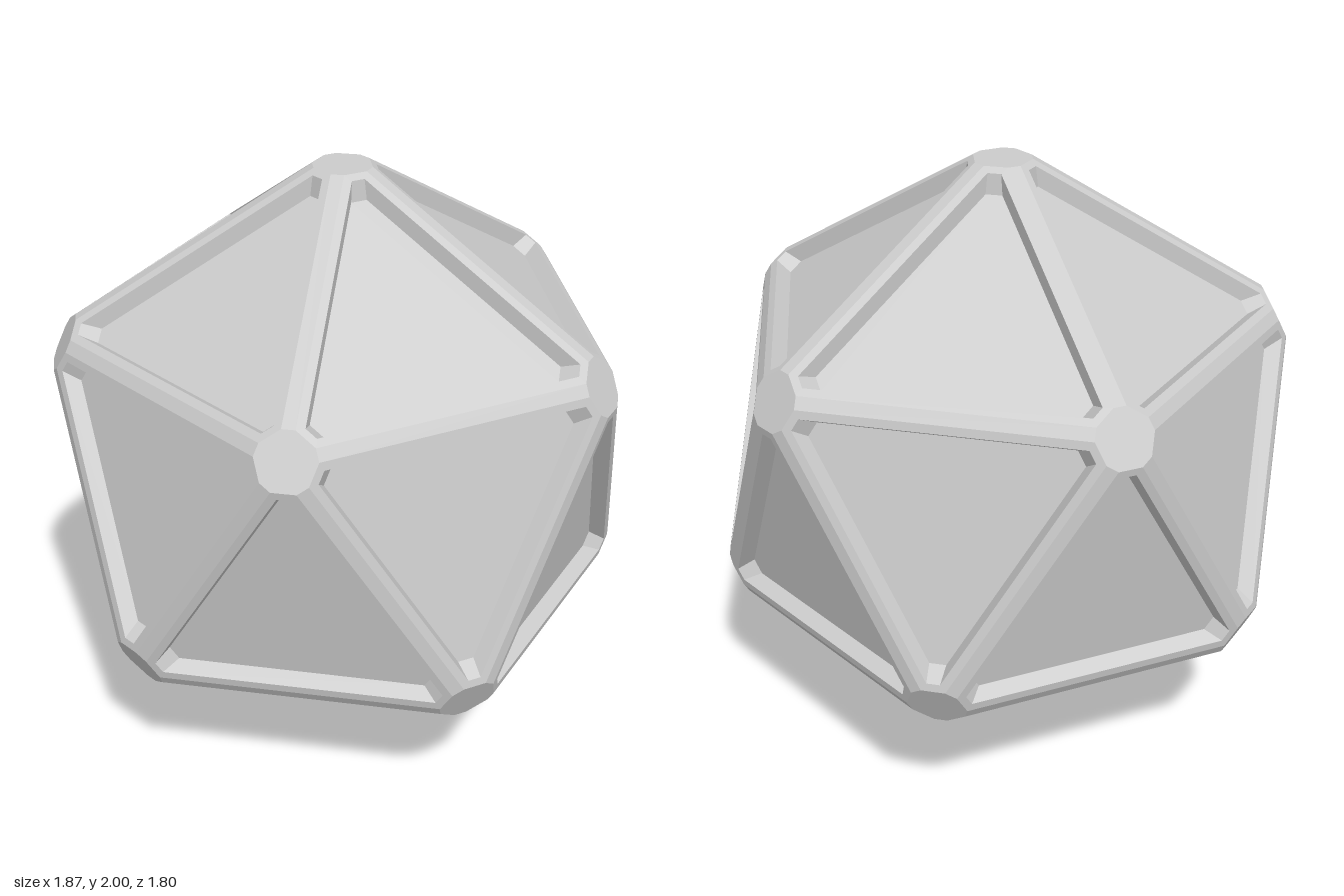
import * as THREE from 'three';

const CAP = 1;          // distance of the vertex caps from the centre
const RIDGE = 0.9;      // distance of the flat edge strips from the centre
const HALF = 0.021;     // half width of an edge strip
const DEPTH = 0.05;     // how far the panels are sunk

// The twelve directions of an icosahedron standing on a vertex
function directions() {
  const list = [new THREE.Vector3(0, 1, 0), new THREE.Vector3(0, -1, 0)];
  const y = 1 / Math.sqrt(5);
  for (let i = 0; i < 5; i++) {
    const a = (i * 2 * Math.PI) / 5;
    const v = new THREE.Vector3(2 * y * Math.cos(a), y, 2 * y * Math.sin(a));
    list.push(v, v.clone().negate());
  }
  return list;
}

// Point made of weighted directions
function combine(...terms) {
  const p = new THREE.Vector3();
  for (const [v, w] of terms) p.addScaledVector(v, w);
  return p;
}

// Fan of triangles over a convex polygon
function fan(out, pts) {
  for (let i = 1; i < pts.length - 1; i++) out.push(pts[0], pts[i], pts[i + 1]);
}

// Band of quads between two closed loops
function band(out, outer, inner) {
  outer.forEach((p, i) => {
    const j = (i + 1) % outer.length;
    fan(out, [p, outer[j], inner[j], inner[i]]);
  });
}

export function createModel() {
  const group = new THREE.Group();
  group.name = 'framedIcosahedron';
  const material = new THREE.MeshStandardMaterial({ color: 0xcccccc, flatShading: true });
  const addMesh = (name, points) => {
    const geometry = new THREE.BufferGeometry().setFromPoints(points);
    geometry.computeVertexNormals();
    const mesh = new THREE.Mesh(geometry, material);
    mesh.name = name;
    group.add(mesh);
  };

  const V = directions();
  const near = (a, b) => Math.abs(a.dot(b) - 1 / Math.sqrt(5)) < 0.01;
  const cosMid = V[0].clone().add(V[2]).normalize().dot(V[0]);
  const sinMid = Math.sqrt(1 - cosMid * cosMid);
  const run = (CAP - RIDGE * cosMid) / sinMid;   // half length of a strip

  // Four corners of the flat strip along edge a-b
  const stripCorners = (a, b) => {
    const m = a.clone().add(b).normalize();
    const e = b.clone().sub(a).normalize();
    const t = m.clone().cross(e);
    return [[-1, -1], [1, -1], [1, 1], [-1, 1]].map(([s, w]) =>
      combine([m, RIDGE], [e, s * run], [t, w * HALF]));
  };

  // Edge strips
  const strips = [];
  V.forEach((a, i) => V.slice(i + 1).forEach((b) => {
    if (near(a, b)) fan(strips, stripCorners(a, b));
  }));
  addMesh('edgeStrips', strips);

  // Ten-sided vertex caps
  const caps = [];
  for (const a of V) {
    const u = V.find((b) => near(a, b)).clone().projectOnPlane(a).normalize();
    const v = a.clone().cross(u);
    const angle = (p) => Math.atan2(p.dot(v), p.dot(u));
    const corners = [];
    for (const b of V) {
      if (!near(a, b)) continue;
      const c = stripCorners(a, b);
      corners.push(c[0], c[3]);
    }
    fan(caps, corners.sort((p, q) => angle(p) - angle(q)));
  }
  addMesh('vertexCaps', caps);

  // Each face: flat rim, sloping wall and sunk panel
  const rims = [], walls = [], panels = [];
  for (let i = 0; i < 12; i++) for (let j = i + 1; j < 12; j++) for (let k = j + 1; k < 12; k++) {
    let [a, b, c] = [V[i], V[j], V[k]];
    if (!near(a, b) || !near(b, c) || !near(a, c)) continue;
    if (a.clone().cross(b).dot(c) < 0) [b, c] = [c, b];
    const n = combine([a, 1], [b, 1], [c, 1]).normalize();
    const mid = a.clone().add(b).normalize();
    const cosF = mid.dot(n), sinF = Math.sqrt(1 - cosF * cosF);
    const plane = RIDGE * cosF + HALF * sinF;
    const long = RIDGE * sinF - HALF * cosF;
    const short = (run + long / Math.sqrt(3)) * Math.sqrt(3) / 2;
    // Six-sided loop, its long sides and cut corners moved inwards
    const loop = (insetSide, insetCorner, sink) => {
      const L = long - insetSide, S = short - insetCorner;
      const half = (2 * S - L) / Math.sqrt(3);
      return [[a, b], [b, c], [c, a]].flatMap(([p, q]) => {
        const e = q.clone().sub(p).normalize();
        const out = p.clone().add(q).projectOnPlane(n).normalize();
        return [-half, half].map((h) => combine([n, plane - sink], [out, L], [e, h]));
      });
    };
    const outer = loop(0, 0, 0);
    const lip = loop(0.027, 0.025, 0);
    const floor = loop(0.045, 0.07, DEPTH);
    band(rims, outer, lip);
    band(walls, lip, floor);
    fan(panels, floor);
  }
  addMesh('faceRims', rims);
  addMesh('recessWalls', walls);
  addMesh('sunkPanels', panels);

  group.children.forEach((mesh) => mesh.position.set(0, CAP, 0));
  return group;
}
